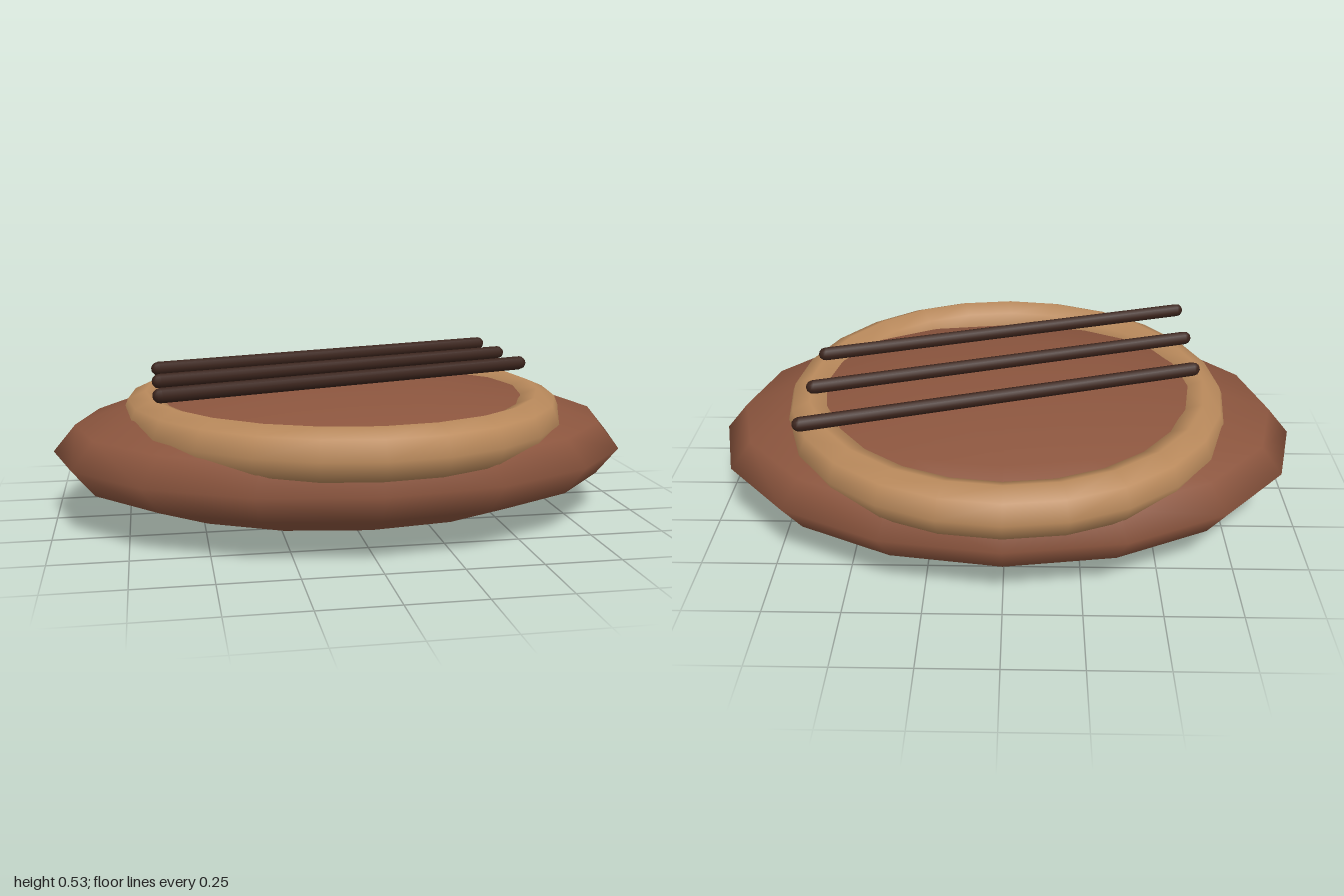
import * as THREE from 'three';

export function createModel() {
  const model = new THREE.Group();
  const material = (color) => new THREE.MeshStandardMaterial({ color });

  const add = (name, geometry, mat) => {
    const mesh = new THREE.Mesh(geometry, mat);
    mesh.name = name;
    model.add(mesh);
    return mesh;
  };

  // Flattened oval body
  const body = add('body', new THREE.SphereGeometry(1, 16, 8), material(0x8b553e));
  body.scale.set(1, 0.238, 0.76);
  body.position.y = 0.243;

  // Raised ring around the top, slightly narrower in x
  const ringGeometry = new THREE.TorusGeometry(0.7, 0.0875, 8, 24).rotateX(Math.PI / 2);
  const ring = add('ring', ringGeometry, material(0xba8a5c));
  ring.scale.x = 0.975;
  ring.position.y = 0.357;

  // Three parallel rounded bars laid diagonally over the top
  const barRadius = 0.024;
  const barGeometry = new THREE.CapsuleGeometry(barRadius, 1.34, 3, 8).rotateZ(Math.PI / 2);
  const barMaterial = material(0x3b241c);
  [-0.255, 0, 0.255].forEach((z, i) => {
    const bar = add(`bar${i + 1}`, barGeometry, barMaterial);
    bar.position.set(0, 0.512, z);
    bar.rotation.y = 0.315;
  });

  return model;
}
